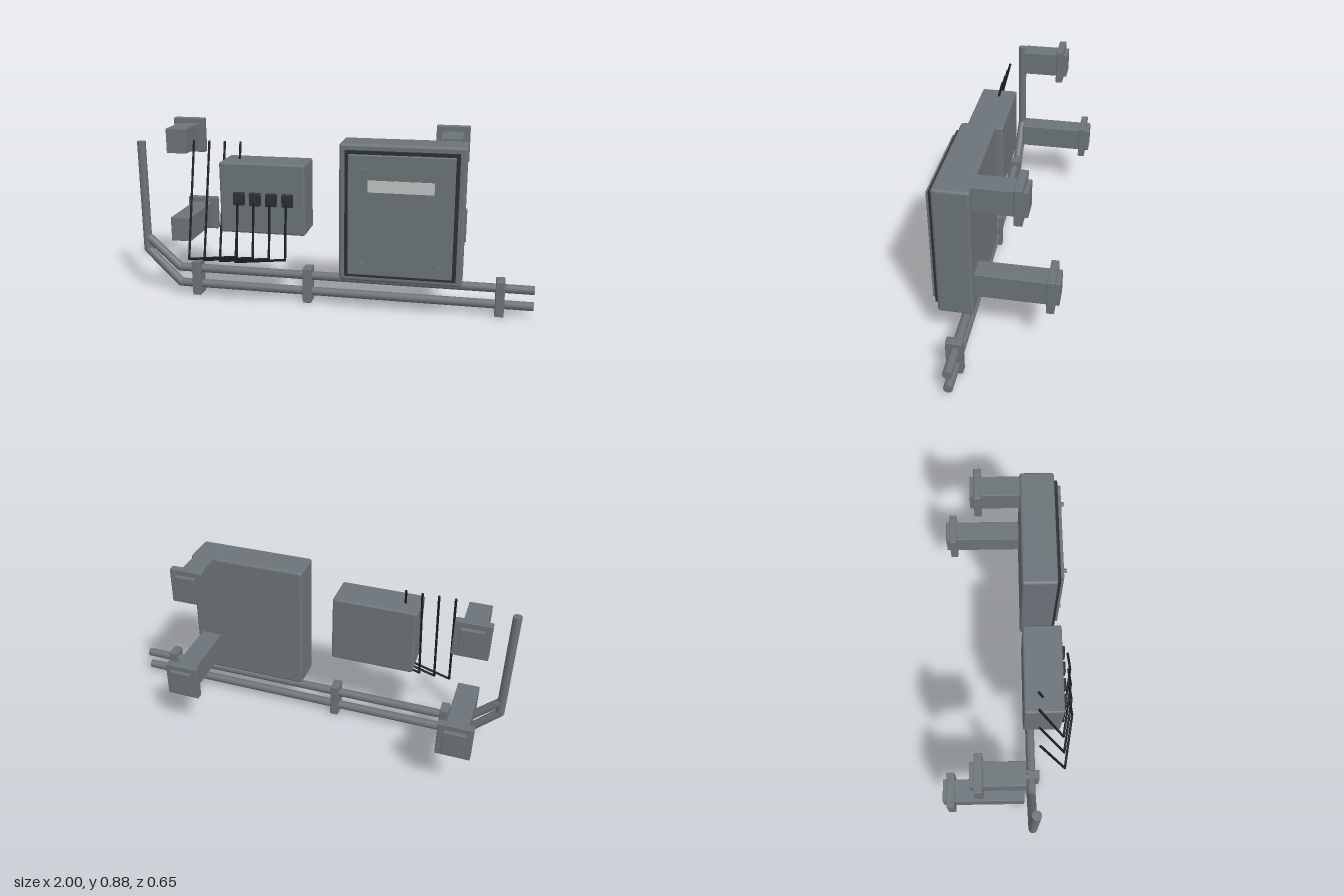
import * as THREE from 'three';
import { RoundedBoxGeometry } from 'three/addons/geometries/RoundedBoxGeometry.js';

const mat = (name, color) => new THREE.MeshStandardMaterial({ name, color });

export function createModel() {
  const root = new THREE.Group();
  root.name = 'electricalCabinetAssembly';
  const grey = mat('paintedGrey', 0x6c7479);
  const dark = mat('darkRubber', 0x2a3133);
  const black = mat('cableBlack', 0x1c2123);
  const pale = mat('labelGrey', 0xc2c3c3);

  const add = (parent, name, geometry, material) => {
    const mesh = new THREE.Mesh(geometry, material);
    mesh.name = name;
    parent.add(mesh);
    return mesh;
  };

  // Box given by its extents on each axis, with an optional rounded edge
  const box = (parent, name, [x0, x1], [y0, y1], [z0, z1], material, radius = 0) => {
    const size = [x1 - x0, y1 - y0, z1 - z0];
    const geometry = radius
      ? new RoundedBoxGeometry(...size, 2, radius)
      : new THREE.BoxGeometry(...size);
    const mesh = add(parent, name, geometry, material);
    mesh.position.set((x0 + x1) / 2, (y0 + y1) / 2, (z0 + z1) / 2);
    return mesh;
  };

  // Small round pin whose axis runs along z
  const pin = (parent, name, x, y, z0, z1) => {
    const geometry = new THREE.CylinderGeometry(0.011, 0.011, z1 - z0, 12);
    const mesh = add(parent, name, geometry.rotateX(Math.PI / 2), grey);
    mesh.position.set(x, y, (z0 + z1) / 2);
  };

  // Straight runs joined by ball elbows
  const pipe = (name, points, radius, sides, material) => {
    const group = new THREE.Group();
    group.name = name;
    const up = new THREE.Vector3(0, 1, 0);
    const path = points.map((p) => new THREE.Vector3(...p));
    for (let i = 0; i < path.length - 1; i++) {
      const step = path[i + 1].clone().sub(path[i]);
      const run = add(group, 'run', new THREE.CylinderGeometry(radius, radius, step.length(), sides), material);
      run.position.copy(path[i]).addScaledVector(step, 0.5);
      run.quaternion.setFromUnitVectors(up, step.normalize());
      if (i > 0) {
        add(group, 'elbow', new THREE.SphereGeometry(radius, sides, 8), material).position.copy(path[i]);
      }
    }
    root.add(group);
  };

  // Large cabinet with gasket, door, label and door screws
  const cabinet = new THREE.Group();
  cabinet.name = 'cabinet';
  root.add(cabinet);
  box(cabinet, 'cabinetBody', [0.062, 0.655], [0.17, 0.845], [0.065, 0.235], grey, 0.014);
  box(cabinet, 'doorGasket', [0.092, 0.625], [0.2, 0.815], [0.23, 0.251], dark);
  box(cabinet, 'door', [0.11, 0.607], [0.215, 0.8], [0.25, 0.267], grey, 0.004);
  box(cabinet, 'label', [0.204, 0.514], [0.625, 0.682], [0.265, 0.27], pale);
  for (const x of [0.178, 0.54]) {
    for (const y of [0.274, 0.729]) pin(cabinet, 'doorScrew', x, y, 0.266, 0.285);
  }

  // Junction box
  box(root, 'junctionBox', [-0.522, -0.1], [0.386, 0.735], [0.065, 0.25], grey, 0.01);

  // Sockets and the cables hanging from them
  for (let i = 0; i < 4; i++) {
    const x = -0.423 + i * 0.08;
    box(root, 'socket', [x - 0.027, x + 0.027], [0.53, 0.592], [0.245, 0.272], dark, 0.004);
    const back = x - 0.264;
    pipe('cable', [
      [x, 0.55, 0.288],
      [x, 0.285, 0.32],
      [back, 0.242, 0.275],
      [back, 0.815, 0.13],
    ], 0.006, 8, black);
  }

  // Pair of conduits running along the bottom and up at the right side
  for (const [y, top] of [[0.051, 0.225], [0.135, 0.295]]) {
    pipe('conduit', [
      [1, y, 0.107],
      [-0.805, y, 0.107],
      [-0.978, top, 0.107],
      [-0.978, 0.795, 0.107],
    ], 0.022, 14, grey);
  }

  // Conduit clamps
  for (const x of [-0.705, -0.118, 0.838]) {
    box(root, 'conduitClamp', [x - 0.022, x + 0.022], [0, 0.182], [0.074, 0.15], grey, 0.004);
  }

  // Wall brackets: long arms below, short arms above
  for (const x of [-0.81, 0.573]) {
    for (const [y, end] of [[0.325, -0.325], [0.793, -0.178]]) {
      const bracket = new THREE.Group();
      bracket.name = 'wallBracket';
      root.add(bracket);
      box(bracket, 'arm', [x - 0.053, x + 0.053], [y - 0.063, y + 0.063], [end, 0.066], grey, 0.003);
      box(bracket, 'flange', [x - 0.083, x + 0.083], [y - 0.09, y + 0.09], [end + 0.02, end + 0.057], grey, 0.004);
      if (x < 0) pin(bracket, 'armPin', x, y, 0.06, 0.076);
    }
  }

  return root;
}
